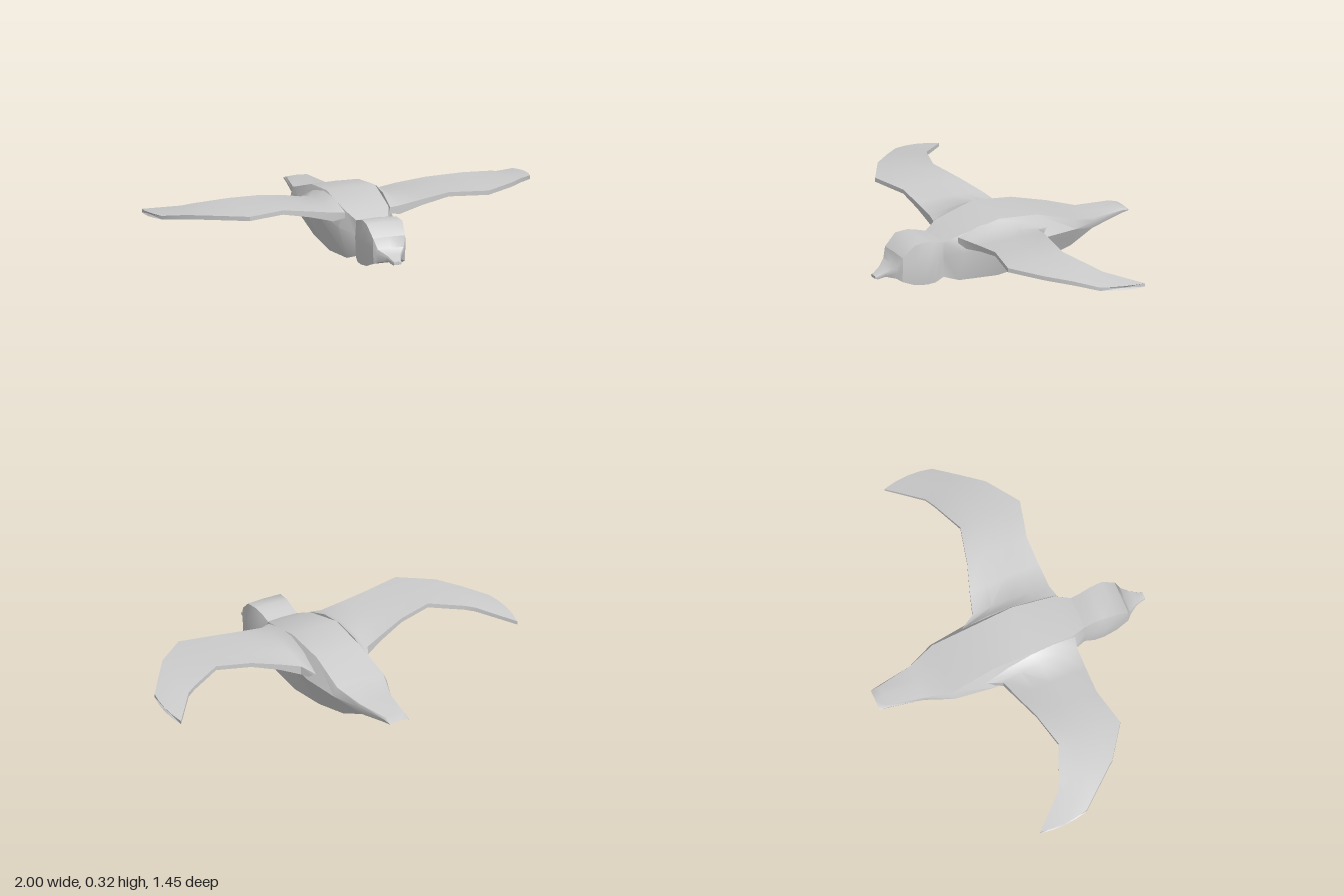
import * as THREE from 'three';
import { toCreasedNormals } from 'three/addons/utils/BufferGeometryUtils.js';

const solid = new THREE.MeshStandardMaterial({ color: 0xcccccc });
const shell = new THREE.MeshStandardMaterial({ color: 0xcccccc, side: THREE.DoubleSide });

// Skin through a row of rings: a capped solid, or an open-bottomed shell
function loft(rings, closed) {
  const n = rings[0].length;
  const pos = rings.flat(2);
  const index = [];
  for (let i = 0; i < rings.length - 1; i++) {
    for (let j = 0; j < (closed ? n : n - 1); j++) {
      const a = i * n + j, b = i * n + (j + 1) % n;
      index.push(a, b, a + n, b, b + n, a + n);
    }
  }
  for (const end of closed ? [0, rings.length - 1] : []) {
    const centre = pos.length / 3;
    for (let k = 0; k < 3; k++) pos.push(rings[end].reduce((s, p) => s + p[k], 0) / n);
    for (let j = 0; j < n; j++) {
      const a = end * n + j, b = end * n + (j + 1) % n;
      index.push(...(end ? [centre, a, b] : [centre, b, a]));
    }
  }
  // Turn the faces outward if the signed volume is negative
  const at = (i) => new THREE.Vector3().fromArray(pos, i * 3);
  let volume = 0;
  for (let i = 0; i < index.length; i += 3) {
    volume += at(index[i]).dot(at(index[i + 1]).cross(at(index[i + 2])));
  }
  if (volume < 0) index.reverse();
  const geo = new THREE.BufferGeometry();
  geo.setAttribute('position', new THREE.Float32BufferAttribute(pos, 3));
  geo.setIndex(index);
  return toCreasedNormals(geo, 0.8);
}

// Symmetric arch: side rim, flank and flat top, mirrored across the middle
function arch([z, topX, topY, flankX, flankY, rimX, rimY]) {
  const half = [[rimX, rimY], [flankX, flankY], [topX, topY]];
  return [
    ...half.map(([x, y]) => [x, y, z]),
    [0, topY + 0.003, z],
    ...half.reverse().map(([x, y]) => [-x, y, z]),
  ];
}

// Wing station from leading to trailing edge: lift arches the top, bulge rounds the tip
function wingRing([lx, lz, ly, tx, tz, ty, thick, lift, bulge], side) {
  const { lerp } = THREE.MathUtils;
  const edge = (drop, rise) => [0, 0.25, 0.5, 0.75, 1].map((t) => {
    const hump = 4 * t * (1 - t);
    return [
      side * (lerp(lx, tx, t) + bulge * hump),
      lerp(ly, ty, t) - drop + rise * hump,
      lerp(lz, tz, t),
    ];
  });
  return [...edge(0, lift), ...edge(thick, 0).reverse()];
}

export function createModel() {
  const group = new THREE.Group();
  const add = (name, rings, closed) => {
    const mesh = new THREE.Mesh(loft(rings, closed), closed ? solid : shell);
    mesh.name = name;
    group.add(mesh);
  };

  // Hollow body running back into the flat tail
  add('bodyAndTail', [
    [0.37, 0.085, 0.235, 0.09, 0.16, 0.088, 0.05],
    [0.29, 0.115, 0.268, 0.15, 0.185, 0.105, 0.02],
    [0.07, 0.13, 0.313, 0.185, 0.21, 0.115, 0],
    [-0.15, 0.125, 0.282, 0.182, 0.175, 0.11, 0.015],
    [-0.36, 0.135, 0.21, 0.155, 0.165, 0.1, 0.055],
    [-0.5, 0.09, 0.168, 0.095, 0.15, 0.08, 0.11],
    [-0.68, 0.055, 0.165, 0.062, 0.155, 0.058, 0.139],
    [-0.725, 0.053, 0.148, 0.055, 0.147, 0.053, 0.143],
  ].map(arch), false);

  // Hollow head with bulging cheeks
  add('head', [
    [0.37, 0.085, 0.235, 0.09, 0.16, 0.088, 0.05],
    [0.42, 0.085, 0.252, 0.11, 0.17, 0.098, 0.036],
    [0.47, 0.09, 0.265, 0.118, 0.17, 0.1, 0.036],
    [0.54, 0.095, 0.262, 0.108, 0.17, 0.095, 0.047],
    [0.605, 0.085, 0.205, 0.087, 0.16, 0.083, 0.075],
  ].map(arch), false);

  // Beak with a flat chin
  add('beak', [
    [0.605, 0.085, 0.205, 0.087, 0.16, 0.083, 0.075],
    [0.625, 0.068, 0.152, 0.073, 0.13, 0.06, 0.088],
    [0.67, 0.035, 0.13, 0.04, 0.12, 0.032, 0.099],
    [0.71, 0.02, 0.112, 0.023, 0.106, 0.02, 0.09],
    [0.725, 0.018, 0.108, 0.02, 0.104, 0.018, 0.095],
  ].map(arch), true);

  // Swept wings, blending out of the back and drooping to the tips
  const stations = [
    [0.12, 0.305, 0.262, 0.155, -0.19, 0.215, 0.03, 0.068, 0],
    [0.175, 0.29, 0.262, 0.195, -0.115, 0.235, 0.045, 0.027, 0],
    [0.3, 0.285, 0.28, 0.3, -0.085, 0.262, 0.03, 0.008, 0],
    [0.44, 0.283, 0.3, 0.44, -0.04, 0.29, 0.022, 0.004, 0],
    [0.635, 0.328, 0.3, 0.62, 0, 0.305, 0.022, 0.003, 0],
    [0.8, 0.214, 0.292, 0.79, -0.07, 0.275, 0.022, 0.003, 0],
    [0.89, 0.107, 0.275, 0.84, -0.095, 0.262, 0.022, 0.003, 0],
    [0.98, 0, 0.25, 0.985, -0.255, 0.216, 0.018, 0.003, 0.017],
  ];
  add('leftWing', stations.map((s) => wingRing(s, 1)), true);
  add('rightWing', stations.map((s) => wingRing(s, -1)), true);

  return group;
}
